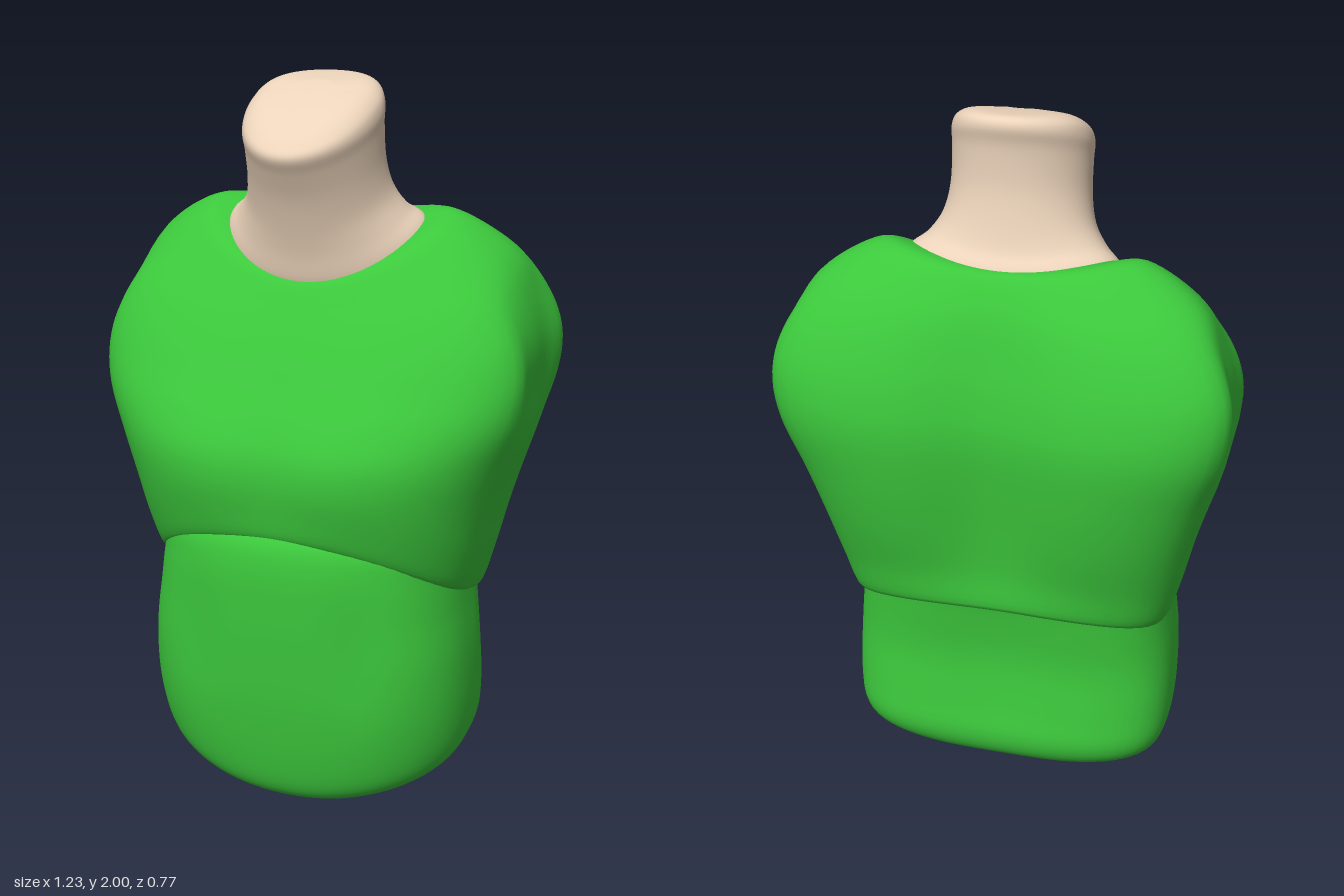
import * as THREE from 'three';

const SEGMENTS = 72;
const STEPS = 5;
const bump = (d, r, p = 2) => Math.exp(-Math.pow(Math.abs(d / r), p));

// Catmull-Rom blend of four rows of ring parameters
function blend(a, b, c, d, t) {
  return b.map((q, k) => 0.5 * (2 * q + (c[k] - a[k]) * t
    + (2 * a[k] - 5 * q + 4 * c[k] - d[k]) * t * t
    + (3 * q - a[k] - 3 * c[k] + d[k]) * t * t * t));
}

// Smooth closed loft, bottom to top. Each row:
// [y front, y side, y back, half width, z front, z back, squareness front, squareness back]
function loft(rows, sculpt = () => {}) {
  const rings = [];
  for (let i = 0; i < rows.length - 1; i++) {
    const at = k => rows[Math.min(Math.max(k, 0), rows.length - 1)];
    for (let s = 0; s < STEPS; s++) {
      rings.push(blend(at(i - 1), at(i), at(i + 1), at(i + 2), s / STEPS));
    }
  }
  rings.push(rows[rows.length - 1]);

  const pos = [], index = [], p = new THREE.Vector3();
  for (const [yF, yS, yB, w, f, b, nF, nB] of rings) {
    const mid = 0.43 * f + 0.57 * b;
    for (let j = 0; j < SEGMENTS; j++) {
      const a = (j / SEGMENTS) * Math.PI * 2;
      const c = Math.cos(a), s = Math.sin(a), n = s > 0 ? nF : nB;
      const r = Math.pow(Math.abs(c) ** n + Math.abs(s) ** n, -1 / n);
      const v = r * s;
      p.set(w * r * c,
        yS + (yF - yB) / 2 * v + ((yF + yB) / 2 - yS) * v * v,
        mid + v * (s > 0 ? f - mid : mid - b));
      sculpt(p, v);
      pos.push(p.x, p.y, p.z);
    }
  }
  for (let i = 0; i < rings.length - 1; i++) {
    for (let j = 0; j < SEGMENTS; j++) {
      const k = (j + 1) % SEGMENTS;
      const a = i * SEGMENTS + j, b = i * SEGMENTS + k;
      index.push(a, a + SEGMENTS, b, b, a + SEGMENTS, b + SEGMENTS);
    }
  }
  // End caps
  for (const top of [false, true]) {
    const start = top ? (rings.length - 1) * SEGMENTS : 0;
    const centre = pos.length / 3, sum = [0, 0, 0];
    for (let j = 0; j < SEGMENTS * 3; j++) sum[j % 3] += pos[start * 3 + j] / SEGMENTS;
    pos.push(...sum);
    for (let j = 0; j < SEGMENTS; j++) {
      const a = start + j, b = start + (j + 1) % SEGMENTS;
      index.push(centre, top ? b : a, top ? a : b);
    }
  }
  const g = new THREE.BufferGeometry();
  g.setAttribute('position', new THREE.Float32BufferAttribute(pos, 3));
  g.setIndex(index);
  g.computeVertexNormals();
  return g;
}

export function createModel() {
  const model = new THREE.Group();
  const green = new THREE.MeshStandardMaterial({ color: 0x3cc83c });
  const skin = new THREE.MeshStandardMaterial({ color: 0xebd3ba });
  const add = (name, geometry, material) => {
    const mesh = new THREE.Mesh(geometry, material);
    mesh.name = name;
    model.add(mesh);
  };

  // Chest: arched hem, full bust, square shoulders, sloping collar
  add('chest', loft([
    [0.835, 0.635, 0.68, 0.42, 0.32, -0.25, 2.3, 3.2],
    [0.82, 0.615, 0.655, 0.455, 0.354, -0.295, 2.3, 3.2],
    [0.89, 0.72, 0.76, 0.488, 0.378, -0.318, 2.4, 3.4],
    [0.98, 0.86, 0.90, 0.522, 0.396, -0.355, 2.5, 3.6],
    [1.06, 1.00, 1.05, 0.565, 0.388, -0.382, 2.6, 3.8],
    [1.14, 1.15, 1.20, 0.622, 0.350, -0.396, 2.6, 4.0],
    [1.22, 1.28, 1.32, 0.641, 0.302, -0.380, 2.6, 4.0],
    [1.30, 1.40, 1.42, 0.618, 0.257, -0.350, 2.6, 3.6],
    [1.365, 1.505, 1.505, 0.558, 0.218, -0.313, 2.5, 3.0],
    [1.42, 1.585, 1.57, 0.458, 0.183, -0.27, 2.3, 2.5],
    [1.46, 1.635, 1.615, 0.352, 0.157, -0.230, 2.1, 2.2],
    [1.478, 1.622, 1.622, 0.278, 0.140, -0.198, 2, 2],
  ], (p, v) => {
    // Spine groove, cleavage and hollowed armholes
    if (v < 0) p.z += 0.055 * v * v * bump(p.x, 0.17) * bump(p.y - 1.15, 0.42, 4);
    else p.z -= 0.02 * v * v * bump(p.x, 0.12) * bump(p.y - 1.02, 0.2);
    p.x *= 1 - 0.07 * bump(p.y - 1.32, 0.22, 4) * bump(p.z + 0.08, 0.15, 4);
  }), green);

  // Abdomen: tilted keel-shaped base, top tucked under the chest
  add('abdomen', loft([
    [0.03, 0.045, 0.06, 0.10, 0.12, 0.00, 2.1, 2.3],
    [0.003, 0.045, 0.08, 0.29, 0.22, -0.14, 2.1, 2.7],
    [0.015, 0.065, 0.10, 0.375, 0.268, -0.20, 2.2, 3.0],
    [0.055, 0.10, 0.14, 0.430, 0.305, -0.25, 2.3, 3.2],
    [0.14, 0.175, 0.205, 0.457, 0.330, -0.275, 2.4, 3.2],
    [0.30, 0.30, 0.30, 0.467, 0.355, -0.268, 2.5, 3.2],
    [0.45, 0.45, 0.45, 0.462, 0.368, -0.255, 2.5, 3.2],
    [0.60, 0.58, 0.60, 0.447, 0.376, -0.268, 2.4, 3.2],
    [0.74, 0.66, 0.69, 0.438, 0.376, -0.278, 2.3, 3.2],
    [0.82, 0.74, 0.75, 0.425, 0.354, -0.268, 2.3, 3.2],
    [0.87, 0.80, 0.80, 0.360, 0.290, -0.220, 2.3, 3.2],
  ], (p, v) => {
    // Spine groove, soft hollows beside the belly, base rising to the sides
    if (v < 0) p.z += 0.025 * v * v * bump(p.x, 0.17) * bump(p.y - 0.45, 0.3, 4);
    else p.z -= 0.014 * v * v * bump(Math.abs(p.x) - 0.24, 0.08) * bump(p.y - 0.5, 0.18);
    p.y += 0.22 * p.x * p.x * bump(p.y, 0.16);
  }), green);

  // Neck: flared base, leaning forward, with a slanted domed top
  add('neck', loft([
    [1.44, 1.55, 1.55, 0.305, 0.125, -0.225, 2, 2],
    [1.48, 1.615, 1.62, 0.280, 0.142, -0.200, 2, 2],
    [1.55, 1.65, 1.66, 0.237, 0.157, -0.170, 2, 2],
    [1.62, 1.70, 1.73, 0.202, 0.177, -0.147, 2, 2],
    [1.70, 1.77, 1.82, 0.186, 0.205, -0.130, 2, 2],
    [1.77, 1.86, 1.92, 0.183, 0.238, -0.130, 2, 2],
    [1.815, 1.91, 1.975, 0.184, 0.260, -0.140, 2, 2],
    [1.845, 1.945, 1.998, 0.170, 0.243, -0.125, 2, 2],
    [1.882, 1.966, 1.999, 0.130, 0.200, -0.085, 2, 2],
    [1.937, 1.970, 1.987, 0.050, 0.110, 0.000, 2, 2],
  ]), skin);

  return model;
}
